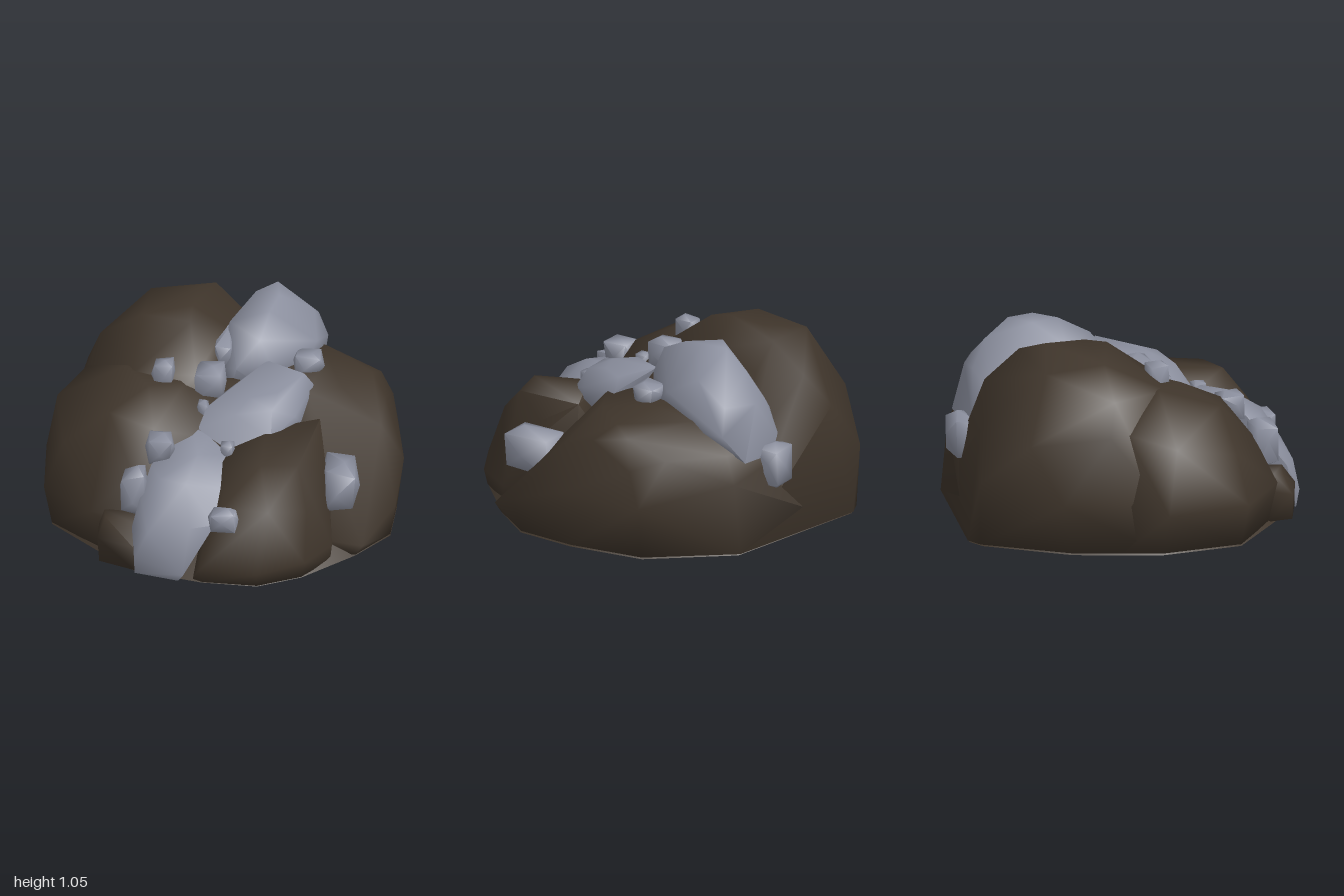
import * as THREE from 'three';
import { ConvexGeometry } from 'three/addons/geometries/ConvexGeometry.js';
import { toCreasedNormals } from 'three/addons/utils/BufferGeometryUtils.js';

// Boulder: the smoothed hull around a few [x, y, z] corner points
function boulder(name, material, points, crease = 1.4) {
  const hull = new ConvexGeometry(points.map((p) => new THREE.Vector3(...p)));
  const mesh = new THREE.Mesh(toCreasedNormals(hull, crease), material);
  mesh.name = name;
  return mesh;
}

function seeded(seed) {
  let s = seed;
  return () => ((s = (s * 16807) % 2147483647) / 2147483647) - 0.5;
}

// Chunky pebble: jittered cube corners plus six face poles, scaled to w, h, d
function pebble(name, material, [x, y, z, w, h, d], seed) {
  const rnd = seeded(seed * 7919 + 13);
  for (let i = 0; i < 5; i++) rnd();
  const pts = [];
  const add = (a, b, c) => pts.push([x + a * w / 2, y + b * h / 2, z + c * d / 2]);
  for (const i of [-1, 1]) {
    for (const j of [-1, 1]) {
      for (const k of [-1, 1]) {
        add(i * (0.75 + rnd() * 0.25), j * (0.75 + rnd() * 0.25), k * (0.75 + rnd() * 0.25));
      }
    }
    add(i, rnd() * 0.6, rnd() * 0.6);
    add(rnd() * 0.6, i, rnd() * 0.6);
    add(rnd() * 0.6, rnd() * 0.6, i);
  }
  return boulder(name, material, pts);
}

export function createModel() {
  const model = new THREE.Group();
  model.name = 'rockMound';
  const earth = new THREE.MeshStandardMaterial({ color: 0x3f352b });
  earth.name = 'dark brown earth';
  const stone = new THREE.MeshStandardMaterial({ color: 0x8b8f9e });
  stone.name = 'blue grey stone';
  const soft = 1.75; // crease angle of the earth lumps
  const foot = 0.01; // lumps start just above the underside of the core

  // Core that closes the base and the middle of the mound
  model.add(boulder('core', earth, [
    [-0.9, 0, -0.1], [-0.91, 0, 0.35], [-0.62, 0, 0.65], [-0.42, 0, 0.84], [-0.05, 0, 0.94],
    [0.25, 0, 0.96], [0.48, 0, 0.84], [0.75, 0, 0.57], [0.92, 0, 0.33], [0.93, 0, 0],
    [0.86, 0, -0.42], [0.52, 0, -0.82], [-0.31, 0, -0.99], [-0.4, 0, -0.95], [-0.72, 0, -0.55],
    [-0.3, 0.6, -0.1], [0.3, 0.6, -0.3], [-0.1, 0.55, 0.3], [0.3, 0.55, 0.2],
    [0, 0.73, 0], [0.12, 0.73, -0.1],
  ], soft));

  // Overlapping brown lumps around the core
  model.add(boulder('backLump', earth, [
    [-0.72, foot, -0.55], [-0.4, foot, -0.96], [-0.31, foot, -1], [0.52, foot, -0.83],
    [-0.9, foot, -0.1], [-0.77, 0.3, -0.62], [-0.42, 0.36, -0.97], [-0.83, 0.3, -0.31],
    [-0.9, 0.3, -0.1], [-0.25, 0.63, -0.9], [0.03, 0.62, -0.82], [-0.1, 0.84, -0.82],
    [-0.6, 0.6, -0.75], [-0.77, 0.65, -0.35], [-0.7, 0.83, -0.3], [-0.47, 0.97, -0.27],
    [-0.2, 1.03, -0.28], [-0.2, 1.0, -0.15], [-0.18, 1.03, -0.5], [-0.45, 0.95, -0.6],
    [-0.1, 0.99, -0.62], [-0.02, 0.9, -0.3], [0.04, 0.85, -0.6], [-0.15, 0.81, 0.1],
    [-0.5, 0.79, 0.08], [0.3, 0.5, -0.72], [-0.4, 0.6, 0.25], [-0.05, 0.6, 0.2],
  ], soft));
  model.add(boulder('sideLump', earth, [
    [-0.91, foot, 0.35], [-0.9, foot, -0.1], [-0.62, foot, 0.62], [-0.2, foot, 0.7],
    [0, foot, 0], [-0.82, foot, -0.3], [-0.83, 0.3, -0.31], [-0.76, 0.66, -0.25],
    [-0.3, 0.7, -0.3], [-0.975, 0.24, -0.09], [-0.95, 0.24, 0.38], [-0.68, 0.25, 0.65],
    [-0.3, 0.25, 0.68], [-0.91, 0.59, -0.02], [-0.85, 0.5, 0.35], [-0.77, 0.67, 0],
    [-0.54, 0.81, 0.02], [-0.2, 0.78, 0.1], [-0.6, 0.7, 0.35], [-0.35, 0.66, 0.45],
    [-0.45, 0.45, 0.6], [-0.1, 0.6, 0.4], [-0.4, 0.79, 0.2], [0, 0.7, 0.1],
  ], soft));
  model.add(boulder('frontLump', earth, [
    [-0.1, foot, 0.92], [-0.05, foot, 0.95], [0.25, foot, 0.97], [0.48, foot, 0.85],
    [0.62, foot, 0.65], [0.6, foot, 0.2], [-0.15, foot, 0.4], [-0.06, 0.09, 0.96],
    [0.25, 0.09, 1], [0.5, 0.1, 0.86], [0.63, 0.1, 0.65], [0.05, 0.4, 0.82], [0.3, 0.4, 0.86],
    [0.5, 0.35, 0.74], [0.6, 0.36, 0.5], [0.05, 0.53, 0.65], [0.25, 0.6, 0.7],
    [0.45, 0.59, 0.66], [0.53, 0.64, 0.22], [0.25, 0.64, 0.35], [0.56, 0.5, 0.45], [0, 0.55, 0.4],
  ], soft));
  model.add(boulder('rightLump', earth, [
    [0.52, foot, -0.83], [0.86, foot, -0.42], [0.93, foot, 0], [0.92, foot, 0.33],
    [0.75, foot, 0.58], [0.3, foot, 0.5], [-0.2, foot, -0.97], [-0.1, 0.5, -0.86],
    [0.9, 0.3, -0.42], [0.88, 0.5, -0.35], [0.97, 0.32, 0.04], [0.95, 0.2, 0.36],
    [0.79, 0.07, 0.59], [0.52, 0.4, -0.79], [0.62, 0.1, 0.6], [0.86, 0.62, -0.1],
    [0.82, 0.66, -0.3], [0.78, 0.71, -0.2], [0.63, 0.72, 0], [0.53, 0.75, -0.28],
    [0.5, 0.7, -0.5], [0.5, 0.55, -0.73], [0.2, 0.75, -0.3], [0.2, 0.7, 0.05],
    [0.45, 0.73, 0.08], [0.75, 0.55, -0.5], [0.85, 0.55, 0.1], [0.1, 0.7, -0.55],
  ], soft));
  model.add(boulder('footLump', earth, [
    [-0.62, foot, 0.62], [-0.62, foot, 0.76], [-0.42, foot, 0.85], [-0.4, foot, 0.6],
    [-0.63, 0.18, 0.65], [-0.63, 0.15, 0.76], [-0.43, 0.15, 0.85], [-0.6, 0.27, 0.66],
    [-0.59, 0.26, 0.72], [-0.44, 0.26, 0.77], [-0.4, 0.27, 0.6],
  ], soft));

  // Three large grey stones running from the crest down to the front
  model.add(boulder('crestStone', stone, [
    [0.13, 1.04, -0.45], [0.26, 1.05, -0.4], [0.24, 1.05, -0.55], [0, 0.93, -0.3],
    [0.44, 0.92, -0.5], [0.47, 0.82, -0.32], [0.06, 0.8, 0], [-0.02, 0.75, -0.1],
    [0.24, 0.8, -0.07], [0.22, 1.02, -0.27], [0.18, 0.93, -0.1], [0.43, 0.75, -0.25],
    [0.5, 0.65, -0.55], [0.5, 0.65, -0.7], [0.43, 0.5, -0.8], [0.18, 0.47, -0.8],
    [0.1, 0.52, -0.81], [0.07, 0.68, -0.72], [0.24, 0.95, -0.68], [0.3, 0.8, -0.78],
    [0.2, 0.8, -0.77], [-0.05, 0.75, -0.25], [0.45, 0.8, -0.68], [0.02, 0.62, -0.08],
    [0.24, 0.62, -0.08],
  ]));
  model.add(boulder('middleStone', stone, [
    [-0.12, 0.62, 0.36], [-0.08, 0.7, 0.25], [0, 0.72, 0.12], [0.2, 0.8, 0], [0.22, 0.82, -0.08],
    [0.43, 0.81, 0.03], [0.48, 0.74, 0.02], [0.43, 0.63, 0.25], [0.4, 0.68, 0.28],
    [0.28, 0.6, 0.42], [0.05, 0.56, 0.46], [0.15, 0.77, 0.25], [0.3, 0.78, 0.2],
    [0.08, 0.72, 0.36], [0.28, 0.74, 0.33], [0.1, 0.5, 0.2], [0.4, 0.5, 0.1],
  ]));
  model.add(boulder('frontStone', stone, [
    [-0.18, 0, 0.93], [-0.42, 0, 0.86], [-0.15, 0.05, 0.96], [-0.42, 0.1, 0.88],
    [-0.44, 0.25, 0.8], [-0.4, 0.4, 0.72], [-0.35, 0.53, 0.6], [-0.15, 0.62, 0.32],
    [-0.05, 0.63, 0.45], [0.06, 0.55, 0.5], [0.05, 0.45, 0.7], [0.01, 0.3, 0.84],
    [-0.15, 0.5, 0.76], [-0.3, 0.5, 0.7], [-0.12, 0.3, 0.89], [-0.35, 0.25, 0.87],
    [-0.2, 0.15, 0.5], [-0.1, 0.6, 0.6],
  ]));

  // Small grey stones: centre x, y, z and width, height, depth
  [
    [-0.33, 0.82, 0.09, 0.13, 0.16, 0.13],
    [-0.08, 0.76, 0.06, 0.19, 0.21, 0.21],
    [0.44, 0.77, -0.18, 0.17, 0.13, 0.16],
    [0.66, 0.37, 0.42, 0.21, 0.29, 0.34],
    [0.06, 0.34, 0.85, 0.17, 0.13, 0.13],
    [-0.44, 0.4, 0.66, 0.15, 0.28, 0.16],
    [-0.31, 0.59, 0.52, 0.16, 0.16, 0.16],
    [0.05, 0.57, 0.48, 0.08, 0.1, 0.09],
    [0.19, 0.43, -0.83, 0.21, 0.27, 0.18],
    [-0.1, 0.68, 0.23, 0.07, 0.1, 0.08],
    [-0.02, 0.81, -0.25, 0.11, 0.18, 0.34],
  ].forEach((box, i) => model.add(pebble('smallStone' + (i + 1), stone, box, i + 1)));

  return model;
}
